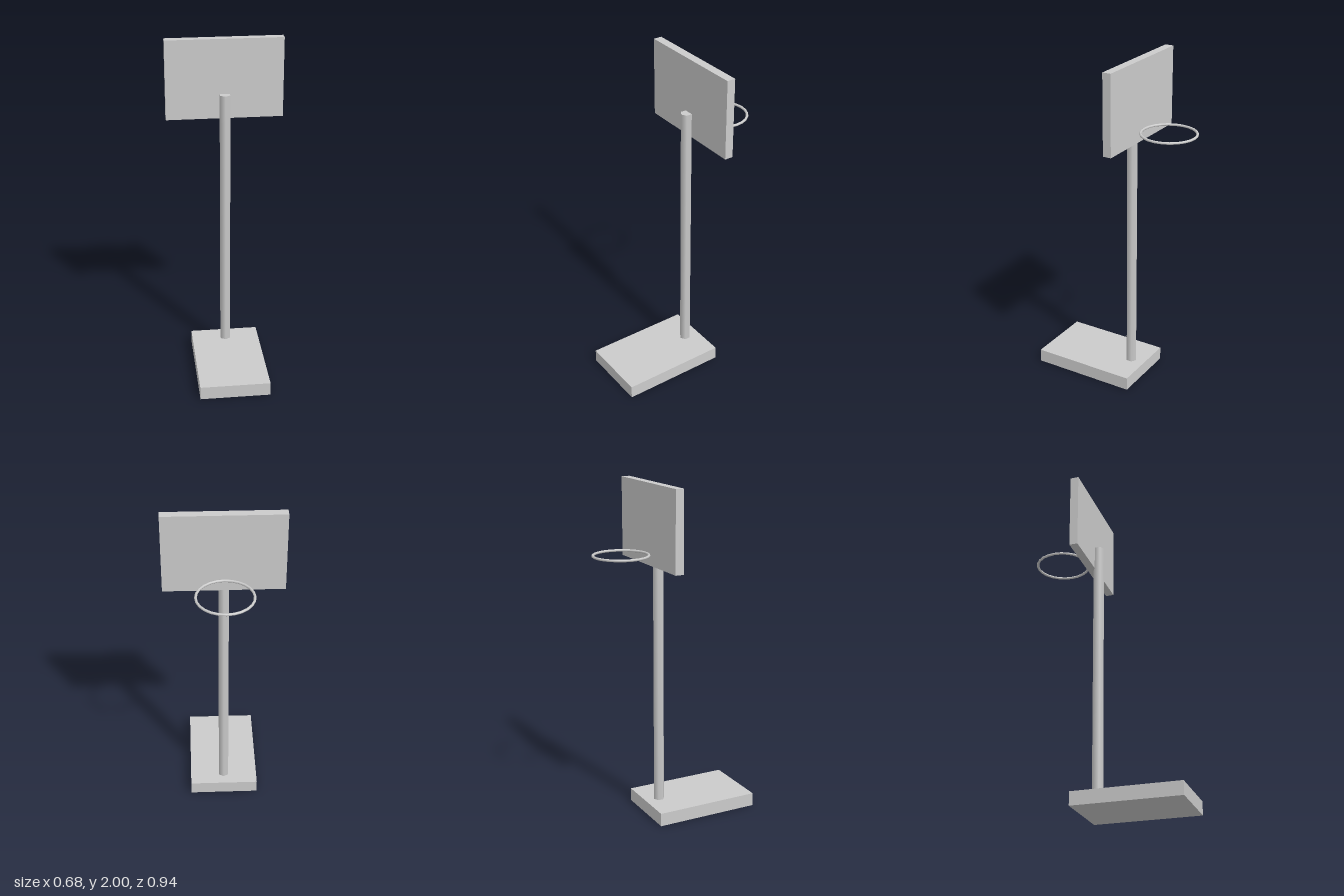
import * as THREE from 'three';

export function createModel() {
  const group = new THREE.Group();
  const material = new THREE.MeshStandardMaterial({ color: 0xcccccc });

  const add = (name, geometry, x, y, z) => {
    const mesh = new THREE.Mesh(geometry, material);
    mesh.name = name;
    mesh.position.set(x, y, z);
    group.add(mesh);
    return mesh;
  };

  // Weighted slab that the stand rests on
  add('base', new THREE.BoxGeometry(0.414, 0.08, 0.635), 0, 0.04, 0.153);

  // Six-sided pole with smooth shading, an edge pointing to the front
  const poleBottom = 0.07, poleTop = 1.68;
  add('pole', new THREE.CylinderGeometry(0.0335, 0.0335, poleTop - poleBottom, 6),
    0, (poleBottom + poleTop) / 2, -0.0735);

  // Backboard, overlapping the top of the pole
  add('backboard', new THREE.BoxGeometry(0.677, 0.465, 0.05), 0, 1.7675, -0.115);

  // Horizontal hoop touching the face of the board
  const hoop = add('hoop', new THREE.TorusGeometry(0.158, 0.0075, 8, 24), 0, 1.603, -0.307);
  hoop.rotation.x = Math.PI / 2;

  return group;
}
